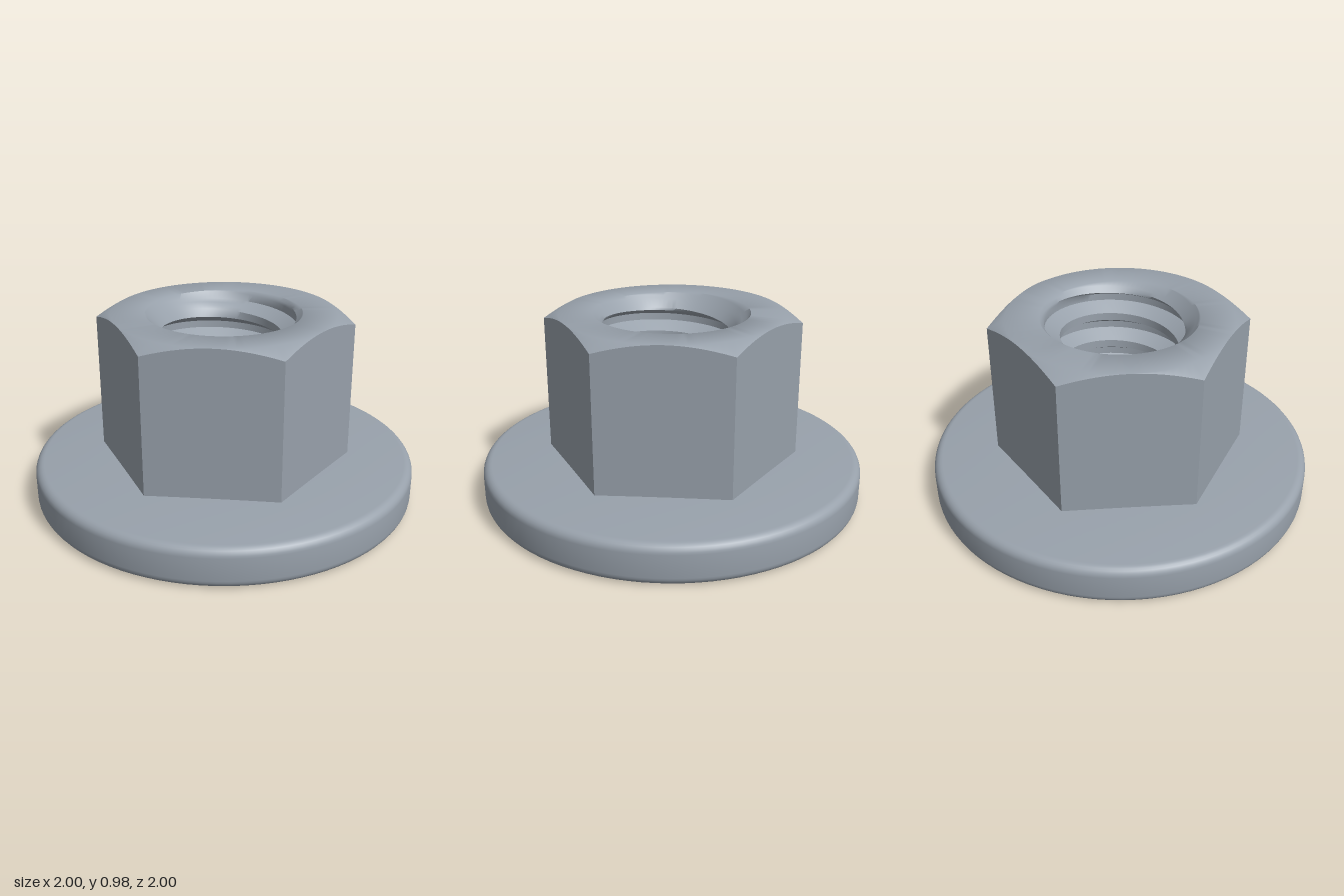
import * as THREE from 'three';
import { toCreasedNormals } from 'three/addons/utils/BufferGeometryUtils.js';

const SEG = 96;                       // columns around the axis
const START = THREE.MathUtils.degToRad(11.8); // direction of one hex corner
const TOP = 0.975, RIM = 0.40;        // nut height, countersink mouth radius
const APOTHEM = 0.573;
const PITCH = 0.165, CREST = 0.303, ROOT = 0.378, TURNS = 7;

// Skin around the y axis: each row is a function angle -> [radius, height]
function sweep(rows) {
  const pos = [], index = [], n = rows.length;
  for (let j = 0; j <= SEG; j++) {
    const t = (j / SEG) * Math.PI * 2;
    for (const row of rows) {
      const [r, y] = row(t);
      pos.push(r * Math.cos(t + START), y, r * Math.sin(t + START));
    }
  }
  for (let j = 0; j < SEG; j++) {
    for (let i = 0; i < n - 1; i++) {
      const a = j * n + i, c = a + n;
      index.push(a, a + 1, c, a + 1, c + 1, c);
    }
  }
  const geo = new THREE.BufferGeometry();
  geo.setAttribute('position', new THREE.Float32BufferAttribute(pos, 3));
  geo.setIndex(index);
  // enlarge while creasing so close vertices stay distinct
  geo.scale(100, 100, 100);
  const creased = toCreasedNormals(geo, THREE.MathUtils.degToRad(50));
  creased.scale(0.01, 0.01, 0.01);
  return creased;
}

// Distance from axis to hexagon side, with a corner at angle 0
function hexRadius(t) {
  const third = Math.PI / 3;
  return APOTHEM / Math.cos((t % third) - third / 2);
}

// Helical bore rows, clipped by the countersinks at both ends
function threadRows() {
  const rows = [];
  const profile = [[0, 0], [0.25, 0], [0.3375, 1 / 3], [0.425, 2 / 3],
    [0.5125, 1], [0.7375, 1], [0.825, 2 / 3], [0.9125, 1 / 3]];
  const add = (turn, depth) => rows.push((t) => {
    const raw = 1.153 - PITCH * (turn + (t + START) / (Math.PI * 2));
    const y = THREE.MathUtils.clamp(raw, 0, TOP);
    const cone = RIM - Math.min(y, TOP - y);
    return [Math.max(THREE.MathUtils.lerp(CREST, ROOT, depth), cone), y];
  });
  // one spare turn at the top keeps the mouth closed all the way round
  for (let k = -1; k < TURNS; k++) {
    for (const [f, d] of profile) add(k + f, d);
  }
  add(TURNS, 0);
  return rows;
}

export function createModel() {
  const group = new THREE.Group();
  group.name = 'flangeNut';
  const steel = new THREE.MeshStandardMaterial({ color: 0x98a1ab });
  steel.name = 'steel grey';

  // Hex body with 30 degree corner chamfer, flat top and threaded bore
  const hexRows = [
    (t) => [hexRadius(t), 0.2],
    (t) => [hexRadius(t), TOP - 0.56 * (hexRadius(t) - APOTHEM)],
    () => [APOTHEM, TOP],
  ];
  const body = new THREE.Mesh(sweep([...hexRows, ...threadRows()]), steel);
  body.name = 'threadedHexBody';
  group.add(body);

  // Round flange with filleted rim and slightly sloped top
  const f = 0.045, points = [[RIM, 0]];
  for (const [y, from] of [[f, -90], [0.207 - f, 0]]) {
    for (let i = 0; i <= 6; i++) {
      const a = THREE.MathUtils.degToRad(from + i * 15);
      points.push([1 - f + f * Math.cos(a), y + f * Math.sin(a)]);
    }
  }
  points.push([0.5, 0.217]);
  const flange = new THREE.Mesh(sweep(points.map((p) => () => p)), steel);
  flange.name = 'flange';
  group.add(flange);

  return group;
}
